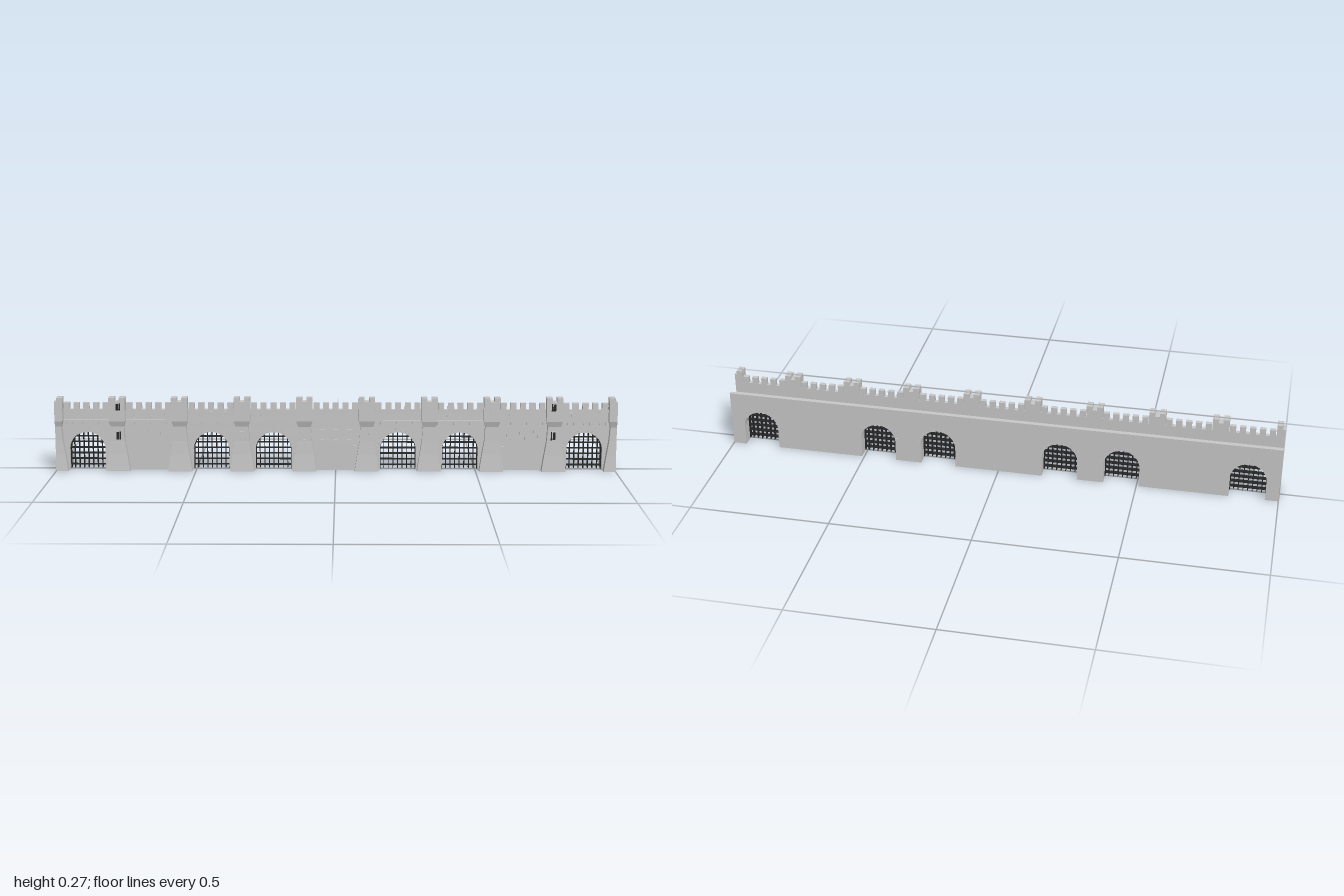
import * as THREE from 'three';

const stone = new THREE.MeshStandardMaterial({ color: 0xc8c8c8 });
stone.name = 'stone';
const iron = new THREE.MeshStandardMaterial({ color: 0x262626 });
iron.name = 'dark iron';

const BAY = 2 / 9, WALK = 0.18;
const ARCH_R = 0.064, SPRING = 0.074;
const FACE = 0.024, BACK = -0.0495;
const gateBays = [-4, -2, -1, 1, 2, 4];

// Box given by its limits on each axis
function block(parent, name, mat, x0, x1, y0, y1, z0, z1) {
  const m = new THREE.Mesh(new THREE.BoxGeometry(x1 - x0, y1 - y0, z1 - z0), mat);
  m.position.set((x0 + x1) / 2, (y0 + y1) / 2, (z0 + z1) / 2);
  m.name = name;
  parent.add(m);
}

// Raised frame of four thin strips around an opening centred on x, y
function frame(parent, name, x, y, w, h, z) {
  const t = 0.0025, a = w / 2, b = h / 2;
  for (const s of [-1, 1]) {
    const cx = x + s * (a + t / 2), cy = y + s * (b + t / 2);
    block(parent, name, stone, cx - t / 2, cx + t / 2, y - b, y + b, z - 0.002, z + 0.001);
    block(parent, name, stone, x - a - t, x + a + t, cy - t / 2, cy + t / 2, z - 0.002, z + 0.001);
  }
}

// Main wall with arched openings running down to the ground
function buildWall(root) {
  const s = new THREE.Shape();
  s.moveTo(-1, 0);
  for (const b of gateBays) {
    const x = b * BAY;
    s.lineTo(x - ARCH_R, 0);
    s.lineTo(x - ARCH_R, SPRING);
    s.absarc(x, SPRING, ARCH_R, Math.PI, 0, true);
    s.lineTo(x + ARCH_R, 0);
  }
  s.lineTo(1, 0);
  s.lineTo(1, WALK);
  s.lineTo(-1, WALK);
  const g = new THREE.ExtrudeGeometry(s, { depth: FACE - BACK, bevelEnabled: false, curveSegments: 16 });
  g.translate(0, 0, BACK);
  const wall = new THREE.Mesh(g, stone);
  wall.name = 'mainWall';
  root.add(wall);
  block(root, 'rearParapet', stone, -1, 1, WALK, 0.208, -0.05, -0.037);
  block(root, 'frontParapet', stone, -1, 1, WALK, 0.222, 0.015, 0.03);
  block(root, 'stringCourse', stone, -1, 1, WALK - 0.003, WALK + 0.004, 0.02, 0.033);
}

// Tapered buttress turret; side 0 is whole, +1 / -1 keeps only that half
function buildTurret(x, side) {
  const t = new THREE.Group();
  t.name = 'turret';
  t.position.x = x;
  const levels = [[0, 0.043, 0.05], [0.06, 0.034, 0.046], [0.11, 0.026, 0.044],
    [0.162, 0.023, 0.044], [0.182, 0.029, 0.05], [0.253, 0.029, 0.05]];
  const geo = new THREE.BoxGeometry(1, 1, 1, 1, levels.length - 1, 1);
  const p = geo.attributes.position;
  for (let i = 0; i < p.count; i++) {
    const [y, half, front] = levels[Math.round((p.getY(i) + 0.5) * (levels.length - 1))];
    const dir = Math.sign(p.getX(i));
    const px = side !== 0 && dir !== side ? 0 : dir * half;
    p.setXYZ(i, px, y, p.getZ(i) > 0 ? front : 0.015);
  }
  const flat = geo.toNonIndexed();
  flat.computeVertexNormals();
  const body = new THREE.Mesh(flat, stone);
  body.name = 'turretBody';
  t.add(body);

  for (const s of side ? [side] : [-1, 1]) {
    const [a, b] = s > 0 ? [0.008, 0.029] : [-0.029, -0.008];
    block(t, 'turretMerlon', stone, a, b, 0.253, 0.267, 0.036, 0.05);
    block(t, 'turretMerlon', stone, a, b, 0.253, 0.267, 0.015, 0.028);
  }
  if (side === 0) {
    frame(t, 'upperSlitFrame', 0, 0.233, 0.01, 0.022, 0.0495);
    frame(t, 'lowerSlitFrame', 0, 0.129, 0.01, 0.028, 0.044);
  }
  // Dark window plates on the two outer gate turrets
  if (Math.abs(Math.abs(x) - 3.5 * BAY) < 0.01) {
    const c = -Math.sign(x) * 0.004;
    block(t, 'upperWindow', iron, c - 0.008, c + 0.008, 0.221, 0.247, 0.046, 0.0505);
    block(t, 'lowerWindow', iron, c - 0.008, c + 0.008, 0.114, 0.144, 0.04, 0.0448);
  }
  return t;
}

// Portcullis of deep flat bars cut to the arch, with ring stones on both wall faces
function buildGate(x) {
  const g = new THREE.Group();
  g.name = 'gate';
  g.position.x = x;
  const w = 0.0013, z0 = -0.008, z1 = 0.008;
  for (let i = -3; i <= 3; i++) {
    const bx = i * 0.0165;
    const top = SPRING + Math.sqrt(ARCH_R ** 2 - bx ** 2);
    block(g, 'portcullisUpright', iron, bx - w, bx + w, 0.004, top, z0, z1);
  }
  for (let j = 0; j < 6; j++) {
    const y = 0.016 + j * 0.0205;
    const half = y > SPRING ? Math.sqrt(ARCH_R ** 2 - (y - SPRING) ** 2) : ARCH_R;
    block(g, 'portcullisRail', iron, -half, half, y - w, y + w, z0, z1);
  }
  // Iron rim lining the arch
  const rim = new THREE.Shape();
  const inner = ARCH_R - 0.0025;
  rim.moveTo(-ARCH_R, 0.002);
  rim.lineTo(-ARCH_R, SPRING);
  rim.absarc(0, SPRING, ARCH_R, Math.PI, 0, true);
  rim.lineTo(ARCH_R, 0.002);
  rim.lineTo(inner, 0.002);
  rim.lineTo(inner, SPRING);
  rim.absarc(0, SPRING, inner, 0, Math.PI, false);
  rim.lineTo(-inner, 0.002);
  const rimGeo = new THREE.ExtrudeGeometry(rim, { depth: z1 - z0, bevelEnabled: false, curveSegments: 16 });
  rimGeo.translate(0, 0, z0);
  const rimMesh = new THREE.Mesh(rimGeo, iron);
  rimMesh.name = 'portcullisRim';
  g.add(rimMesh);

  for (const z of [BACK + 0.0005, FACE + 0.0005]) {
    for (let k = 0; k < 13; k++) {
      const a = Math.PI * (k + 0.5) / 13;
      const len = k % 2 ? 0.01 : 0.015;
      const r = ARCH_R + len / 2;
      const v = new THREE.Mesh(new THREE.BoxGeometry(len, 0.0155, 0.002), stone);
      v.position.set(Math.cos(a) * r, SPRING + Math.sin(a) * r, z);
      v.rotation.z = a;
      v.name = 'archStone';
      g.add(v);
    }
  }
  return g;
}

// Framed blind windows and scattered face stones for a bay without a gate
function buildWindows(x) {
  const g = new THREE.Group();
  g.name = 'windowBay';
  g.position.x = x;
  for (const wx of [-0.048, 0, 0.048]) {
    frame(g, 'windowFrame', wx, 0.128, 0.014, 0.034, FACE + 0.001);
  }
  for (const [sx, sy] of [[-0.07, 0.085], [-0.055, 0.079], [0.052, 0.08], [0.068, 0.086]]) {
    block(g, 'faceStone', stone, sx - 0.006, sx + 0.006, sy - 0.003, sy + 0.003, FACE - 0.002, FACE + 0.0015);
  }
  return g;
}

// Battlements, corbels and slit frames shared by every bay
function buildBattlement(x) {
  const g = new THREE.Group();
  g.name = 'battlement';
  g.position.x = x;
  for (let i = -2; i <= 2; i++) {
    const mx = i * 0.0345;
    block(g, 'merlon', stone, mx - 0.0105, mx + 0.0105, 0.222, 0.246, 0.015, 0.03);
  }
  for (let i = -4; i <= 4; i++) {
    const cx = i * 0.019;
    block(g, 'corbel', stone, cx - 0.0045, cx + 0.0045, 0.166, WALK, 0.022, 0.03);
  }
  for (const sx of [-0.052, 0, 0.052]) {
    frame(g, 'arrowSlitFrame', sx, 0.202, 0.006, 0.018, 0.03);
  }
  return g;
}

export function createModel() {
  const root = new THREE.Group();
  root.name = 'fortressWall';
  buildWall(root);
  for (let b = -4; b <= 4; b++) {
    const x = b * BAY;
    root.add(buildBattlement(x));
    root.add(gateBays.includes(b) ? buildGate(x) : buildWindows(x));
  }
  for (let i = 0; i <= 9; i++) {
    root.add(buildTurret(-1 + i * BAY, i === 0 ? 1 : i === 9 ? -1 : 0));
  }
  return root;
}
